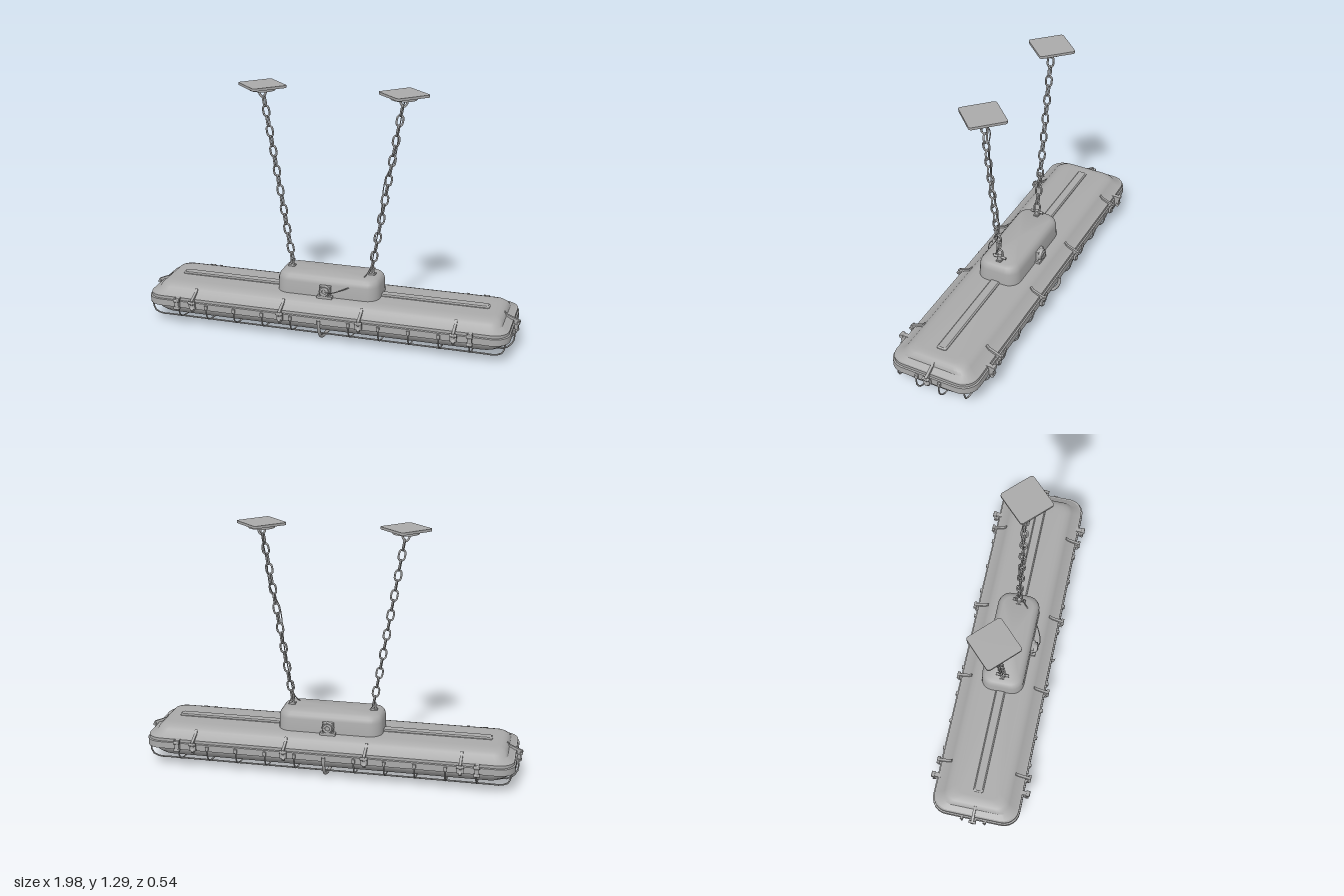
import * as THREE from 'three';
import { toCreasedNormals } from 'three/addons/utils/BufferGeometryUtils.js';

// Closed solid through rounded rectangles [y, halfX, halfZ, cornerRadius], listed bottom to top
function loft(rings, crease = 0.5, steps = 6) {
  const pos = [], idx = [], n = 4 * (steps + 1);
  for (const [y, hx, hz, r] of rings) {
    for (let c = 0; c < 4; c++) {
      const sx = c === 0 || c === 3 ? 1 : -1, sz = c < 2 ? 1 : -1;
      for (let k = 0; k <= steps; k++) {
        const a = (c + k / steps) * Math.PI / 2;
        pos.push(sx * (hx - r) + r * Math.cos(a), y, sz * (hz - r) + r * Math.sin(a));
      }
    }
  }
  const last = rings.length - 1, bottom = rings.length * n, top = bottom + 1;
  pos.push(0, rings[0][0], 0, 0, rings[last][0], 0);
  for (let i = 0; i < n; i++) {
    const k = (i + 1) % n;
    for (let j = 0; j < last; j++) {
      const a = j * n + i, b = j * n + k;
      idx.push(a, a + n, b, b, a + n, b + n);
    }
    idx.push(bottom, i, k, top, last * n + k, last * n + i);
  }
  const g = new THREE.BufferGeometry();
  g.setAttribute('position', new THREE.Float32BufferAttribute(pos, 3));
  g.setIndex(idx);
  return toCreasedNormals(g, crease);
}

function tube(points, radius, segments = 32, closed = false, sides = 6) {
  const curve = new THREE.CatmullRomCurve3(points.map(p => new THREE.Vector3(...p)), closed, 'centripetal');
  return new THREE.TubeGeometry(curve, segments, radius, sides, closed);
}

export function createModel() {
  const model = new THREE.Group();
  const grey = new THREE.MeshStandardMaterial({ color: 0xaaaaaa });
  grey.name = 'painted metal grey';

  function add(name, geometry, x = 0, y = 0, z = 0, parent = model) {
    const mesh = new THREE.Mesh(geometry, grey);
    mesh.name = name;
    mesh.position.set(x, y, z);
    parent.add(mesh);
    return mesh;
  }

  // Lamp body
  add('flange', loft([[0.112, 0.965, 0.235, 0.085], [0.147, 0.965, 0.235, 0.085],
    [0.15, 0.958, 0.228, 0.08], [0.165, 0.958, 0.228, 0.08]]));
  add('housing', loft([[0.165, 0.95, 0.222, 0.08], [0.182, 0.921, 0.187, 0.06], [0.197, 0.915, 0.175, 0.06],
    [0.209, 0.902, 0.158, 0.055], [0.216, 0.885, 0.137, 0.05], [0.218, 0.86, 0.11, 0.04]]));
  add('topRib', loft([[0.21, 0.835, 0.028, 0.01], [0.222, 0.835, 0.026, 0.01], [0.228, 0.828, 0.02, 0.01]]));
  add('diffuser', loft([[0.04, 0.84, 0.1, 0.06], [0.045, 0.885, 0.135, 0.08], [0.057, 0.918, 0.168, 0.09],
    [0.075, 0.938, 0.19, 0.1], [0.098, 0.948, 0.202, 0.1], [0.12, 0.95, 0.205, 0.1]]));
  add('junctionBox', loft([[0.19, 0.275, 0.117, 0.065], [0.285, 0.272, 0.114, 0.065], [0.304, 0.267, 0.108, 0.06],
    [0.317, 0.257, 0.098, 0.055], [0.325, 0.238, 0.082, 0.045]], 0.6));

  // Cable glands on both long sides of the junction box
  for (const s of [-1, 1]) {
    const gland = new THREE.Group();
    gland.name = 'cableGland';
    gland.rotation.y = s > 0 ? 0 : Math.PI;
    add('glandBase', new THREE.BoxGeometry(0.06, 0.065, 0.02), 0, 0.25, 0.12, gland);
    add('glandFoot', new THREE.BoxGeometry(0.08, 0.014, 0.04), 0, 0.224, 0.122, gland);
    add('glandNut', new THREE.CylinderGeometry(0.03, 0.033, 0.02, 8).rotateX(Math.PI / 2), 0, 0.256, 0.134, gland);
    add('glandRing', new THREE.TorusGeometry(0.018, 0.006, 8, 20), 0, 0.256, 0.144, gland);
    model.add(gland);
  }

  // Wire guard: hoops across, then long wires
  const wire = 0.0042;
  for (let k = -5; k <= 5; k++) {
    if (k === 0) continue;
    const x = k * 0.155, half = [[0.238, 0.13], [0.233, 0.092], [0.215, 0.06], [0.18, 0.043], [0.09, 0.032]];
    add('guardHoop', tube([...half.map(([z, y]) => [x, y, z]), [x, 0.029, 0],
      ...half.slice().reverse().map(([z, y]) => [x, y, -z])], wire));
    for (const s of [-1, 1]) add('guardLug', new THREE.BoxGeometry(0.016, 0.02, 0.012), x, 0.13, s * 0.237);
  }
  for (const z of [-0.185, -0.062, 0.062, 0.185]) {
    const y = 0.028 + 0.5 * z * z, e = Math.abs(z) > 0.1 ? 0.03 : 0;
    const end = [[0.972 - e, 0.13], [0.974 - e, 0.09], [0.96 - e, 0.058], [0.925 - e, y], [0.85, y]];
    add('guardLongWire', tube([...end.map(([x, h]) => [x, h, z]),
      ...end.slice().reverse().map(([x, h]) => [-x, h, z])], wire, 80));
    for (const s of [-1, 1]) add('guardLug', new THREE.BoxGeometry(0.012, 0.02, 0.016), s * (0.97 - e), 0.13, z);
  }

  // Heavy centre hoop
  const hoop = [[0.242, 0.14], [0.24, 0.1], [0.222, 0.058], [0.19, 0.03], [0.1, 0.013]];
  add('centreHoop', tube([...hoop.map(([z, y]) => [0, y, z]), [0, 0.009, 0],
    ...hoop.slice().reverse().map(([z, y]) => [0, y, -z])], 0.009, 48, false, 8));

  // Latches: profile is (outward, up), measured from the flange edge
  const profile = new THREE.Shape([[-0.068, 0.184], [-0.06, 0.207], [-0.046, 0.19], [0.008, 0.168], [0.02, 0.163],
    [0.02, 0.142], [0.01, 0.135], [0.018, 0.112], [0.006, 0.1], [-0.012, 0.106], [-0.01, 0.163], [-0.045, 0.172]]
    .map(p => new THREE.Vector2(...p)));
  const leverGeo = new THREE.ExtrudeGeometry(profile, { depth: 0.014, bevelEnabled: false }).translate(0, 0, -0.007);
  const catchGeo = new THREE.BoxGeometry(0.02, 0.03, 0.034);
  const pinGeo = new THREE.CylinderGeometry(0.008, 0.008, 0.038, 10).rotateX(Math.PI / 2);
  function latch(x, z, turn) {
    const g = new THREE.Group();
    g.name = 'latch';
    g.position.set(x, 0, z);
    g.rotation.y = turn;
    add('latchLever', leverGeo, 0, 0, 0, g);
    add('latchCatch', catchGeo, 0.003, 0.13, 0, g);
    add('latchPin', pinGeo, 0.014, 0.152, 0, g);
    model.add(g);
  }
  for (const s of [-1, 1]) {
    for (const x of [-0.695, -0.21, 0.21, 0.695]) latch(x, s * 0.235, -s * Math.PI / 2);
    latch(s * 0.97, 0, s > 0 ? 0 : Math.PI);
    // Hinges next to the outer latches
    for (const x of [-0.778, 0.778]) {
      add('hingeArm', new THREE.BoxGeometry(0.022, 0.012, 0.075), x, 0.162, s * 0.228);
      add('hingeBlock', new THREE.BoxGeometry(0.022, 0.05, 0.026), x, 0.138, s * 0.246);
      add('hingeKnuckle', new THREE.CylinderGeometry(0.011, 0.011, 0.03, 12).rotateZ(Math.PI / 2), x, 0.16, s * 0.257);
      add('hingeKnuckle', new THREE.CylinderGeometry(0.01, 0.01, 0.03, 12).rotateZ(Math.PI / 2), x, 0.115, s * 0.252);
    }
  }

  // Chains, eyes and ceiling plates
  const w = 0.0155, h = 0.0275, linkPoints = [];
  for (let i = 0; i <= 6; i++) {
    const a = i / 6 * Math.PI;
    linkPoints.push([w * Math.cos(a), h - w + w * Math.sin(a), 0]);
  }
  const linkGeo = tube([...linkPoints, ...linkPoints.map(([x, y]) => [-x, -y, 0])], 0.0052, 32, true);
  const plateGeo = loft([[1.279, 0.094, 0.094, 0.014], [1.292, 0.094, 0.094, 0.014]]);
  for (const s of [-1, 1]) {
    for (let i = 0; i < 17; i++) {
      const link = add('chainLink', linkGeo, s * (0.218 + i * 0.0087), 0.372 + i * 0.052, 0);
      link.rotation.set(0, i % 2 ? 0 : Math.PI / 2, -s * 0.166, 'ZYX');
    }
    add('lowerEyePost', new THREE.CylinderGeometry(0.011, 0.014, 0.04, 12), s * 0.218, 0.335, 0);
    add('lowerEyeBar', new THREE.CylinderGeometry(0.007, 0.007, 0.07, 10).rotateX(Math.PI / 2), s * 0.218, 0.347, 0);
    add('lowerEyeBase', new THREE.BoxGeometry(0.036, 0.012, 0.028), s * 0.218, 0.326, 0);
    add('upperEye', tube([[-0.016, 1.268, 0], [-0.016, 1.242, 0], [0, 1.224, 0], [0.016, 1.242, 0], [0.016, 1.268, 0]],
      0.006, 20), s * 0.367, 0, 0);
    add('ceilingBoss', new THREE.CylinderGeometry(0.067, 0.067, 0.018, 32), s * 0.367, 1.271, 0);
    add('ceilingPlate', plateGeo, s * 0.367, 0, 0).rotation.y = Math.PI / 4;
  }

  // Power cable from the front gland up along one chain
  add('powerCable', tube([[0, 0.256, 0.14], [0.03, 0.256, 0.155], [0.1, 0.275, 0.13], [0.17, 0.305, 0.075],
    [0.21, 0.36, 0.025], [0.228, 0.45, 0.01], [0.255, 0.64, -0.012], [0.28, 0.84, 0.008], [0.325, 0.96, -0.015],
    [0.342, 1.1, -0.012], [0.355, 1.2, -0.03], [0.365, 1.24, -0.018], [0.367, 1.268, -0.01]], 0.0028, 90));

  return model;
}
